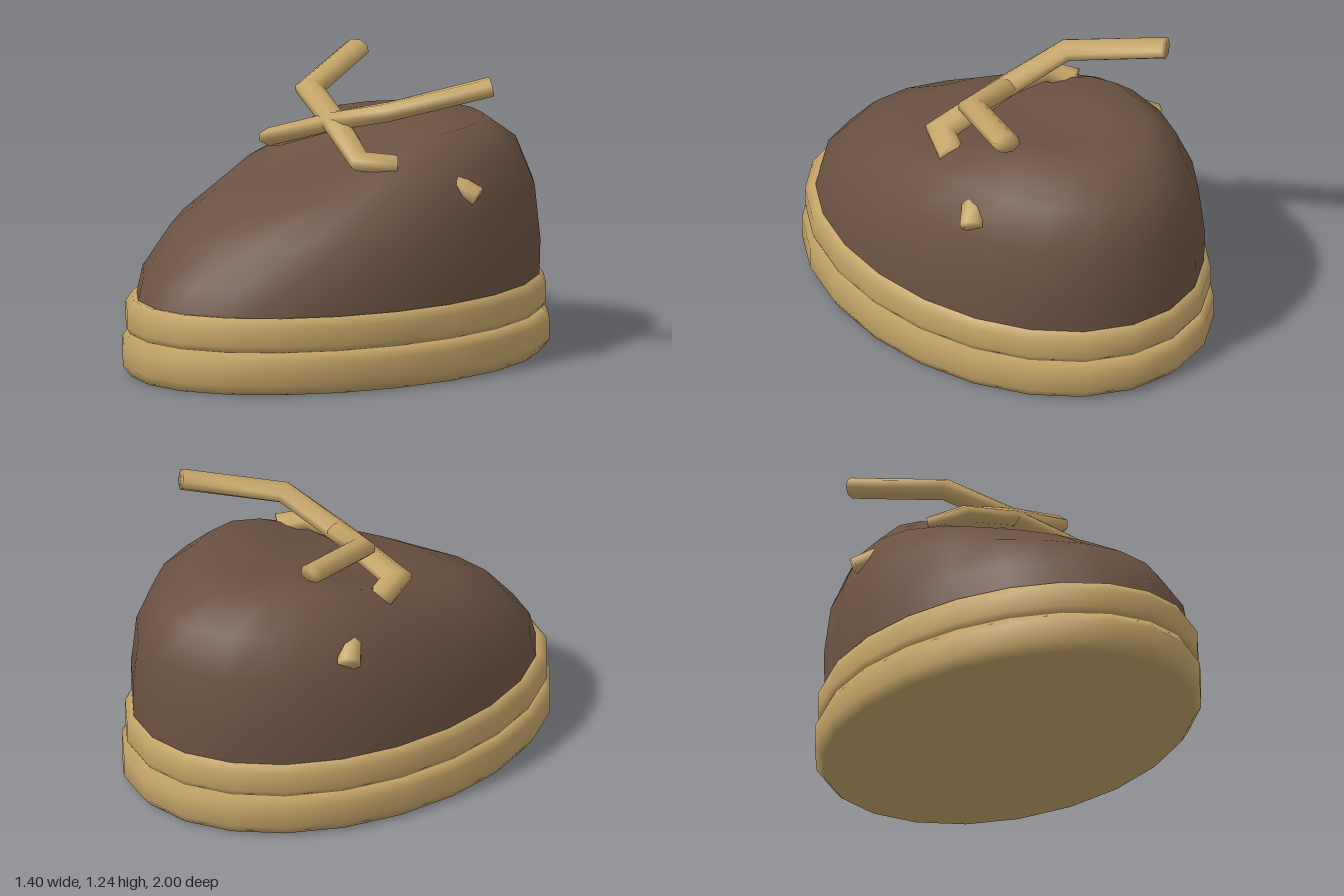
import * as THREE from 'three';

const SIDES = 22;

// Skin closed rings of points, ordered counter-clockwise around the direction of travel; cap points close the ends.
function loft(rings, startCap, endCap) {
  const n = rings[0].length;
  const points = rings.flat();
  const index = [];
  for (let i = 0; i < rings.length - 1; i++) {
    for (let j = 0; j < n; j++) {
      const a = i * n + j, b = i * n + (j + 1) % n;
      index.push(a, b, b + n, a, b + n, a + n);
    }
  }
  const last = (rings.length - 1) * n;
  if (startCap) {
    const c = points.push(startCap) - 1;
    for (let j = 0; j < n; j++) index.push(c, (j + 1) % n, j);
  }
  if (endCap) {
    const c = points.push(endCap) - 1;
    for (let j = 0; j < n; j++) index.push(c, last + j, last + (j + 1) % n);
  }
  const geometry = new THREE.BufferGeometry().setFromPoints(points);
  geometry.setIndex(index);
  geometry.computeVertexNormals();
  return geometry;
}

// Horizontal egg-shaped ring, slightly narrower at the toe
function eggRing(width, front, back, height) {
  return Array.from({ length: SIDES }, (_, j) => {
    const a = j / SIDES * Math.PI * 2;
    const z = (front + back) / 2 + (front - back) / 2 * Math.cos(a);
    return new THREE.Vector3(width * Math.sin(a) * (1 - 0.05 * z), height(z), z);
  });
}

// Sole layer from a profile of [outline scale, y]
function soleLayer(profile) {
  const rings = profile.map(([s, y]) => eggRing(0.7 * s, s, -s, () => y));
  return loft(rings, new THREE.Vector3(0, profile[0][1], 0), new THREE.Vector3(0, profile.at(-1)[1], 0));
}

// Upper: each ring climbs from a low toe to a level heel
function upper() {
  // half width, toe z, toe y, heel z, heel y
  const rows = [
    [0.66, 0.945, 0.28, -0.955, 0.28],
    [0.655, 0.90, 0.43, -0.96, 0.48],
    [0.60, 0.76, 0.59, -0.94, 0.71],
    [0.50, 0.53, 0.72, -0.87, 0.885],
    [0.37, 0.27, 0.79, -0.71, 1.0],
    [0.18, -0.02, 0.88, -0.5, 0.98],
  ];
  const rings = rows.map(([w, zf, yf, zb, yb]) => eggRing(w, zf, zb, (z) => {
    const t = Math.min(1, Math.max(0, (zf - z) / (zf + 0.37)));
    return yf + (yb - yf) * Math.sin(t * Math.PI / 2) ** 1.3;
  }));
  return loft(rings, null, new THREE.Vector3(0, 0.945, -0.25));
}

// Slightly flattened cord along a polyline with mitred corners
function cord(path, halfWidth, halfHeight) {
  const up = new THREE.Vector3(0, 1, 0);
  const pts = path.map((p) => new THREE.Vector3(...p));
  const dir = (i) => pts[i + 1].clone().sub(pts[i]).normalize();
  const rings = pts.map((p, i) => {
    const before = dir(Math.max(0, i - 1));
    const after = dir(Math.min(pts.length - 2, i));
    const t = before.clone().add(after).normalize();
    const miter = Math.min(1.5, 1 / t.dot(after));
    const side = up.clone().cross(t).normalize();
    const top = t.clone().cross(side);
    return Array.from({ length: 8 }, (_, j) => {
      const a = (j + 0.5) / 8 * Math.PI * 2;
      return p.clone()
        .addScaledVector(side, halfWidth * miter * Math.cos(a))
        .addScaledVector(top, halfHeight * Math.sin(a));
    });
  });
  return loft(rings, pts[0], pts.at(-1));
}

export function createModel() {
  const model = new THREE.Group();
  model.name = 'shoe';
  const leather = new THREE.MeshStandardMaterial({ name: 'brownLeather', color: 0x6b5242 });
  const tan = new THREE.MeshStandardMaterial({ name: 'tan', color: 0xc4a468 });

  const add = (name, geometry, material) => {
    const mesh = new THREE.Mesh(geometry, material);
    mesh.name = name;
    model.add(mesh);
  };

  add('upper', upper(), leather);
  add('sole', soleLayer([[0.96, 0], [1, 0.045], [1, 0.14], [0.965, 0.185]]), tan);
  add('welt', soleLayer([[0.965, 0.18], [0.985, 0.21], [0.985, 0.29], [0.955, 0.33], [0.92, 0.325]]), tan);

  // Crossed laces and the lace tips poking out at the sides
  const lace = [[-0.49, 1.2, -0.47], [-0.29, 1.105, -0.08], [0, 1.025, 0], [0.31, 0.915, 0.085], [0.385, 0.895, -0.05]];
  const tip = [[0.47, 0.82, -0.26], [0.575, 0.755, -0.34]];
  for (const [side, s] of [['left', 1], ['right', -1]]) {
    const mirror = (path) => path.map(([x, y, z]) => [x * s, y, z]);
    add(side + 'Lace', cord(mirror(lace), 0.058, 0.042), tan);
    add(side + 'LaceTip', cord(mirror(tip), 0.052, 0.042), tan);
  }
  return model;
}
